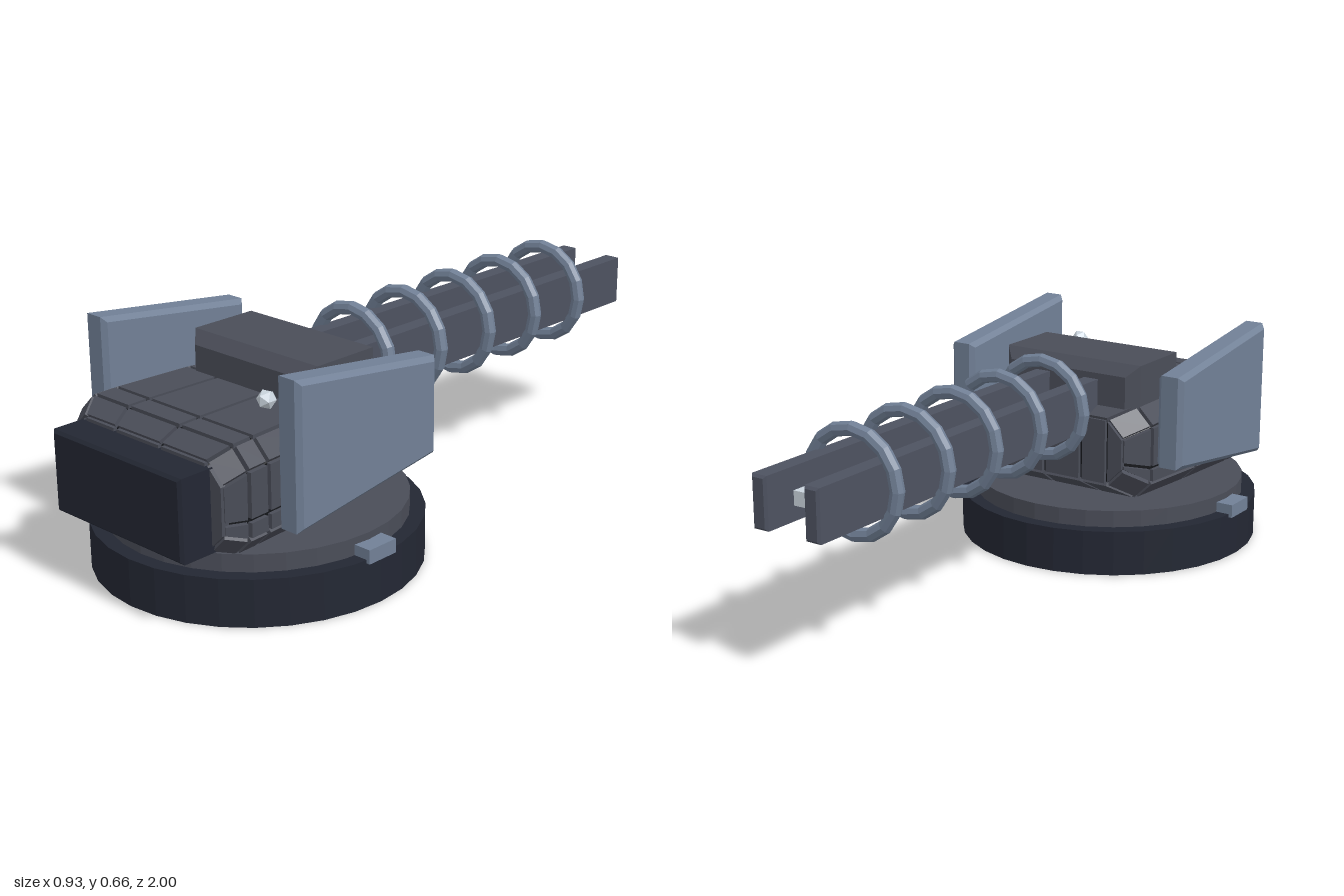
import * as THREE from 'three';
import { ConvexGeometry } from 'three/addons/geometries/ConvexGeometry.js';

const mat = (color) => new THREE.MeshStandardMaterial({ color, flatShading: true });
const DARK = mat(0x232733), BLACK = mat(0x14161a), HULL = mat(0x4a4d58);
const RAIL = mat(0x4d5260), STEEL = mat(0x718096), PALE = mat(0xcbd5de);

function add(parent, name, geometry, material, x = 0, y = 0, z = 0) {
  const mesh = new THREE.Mesh(geometry, material);
  mesh.name = name;
  mesh.position.set(x, y, z);
  parent.add(mesh);
  return mesh;
}

// Extruded outline with a single chamfer, centred on its depth
function slab(points, depth, bevel) {
  const shape = new THREE.Shape(points.map(([x, y]) => new THREE.Vector2(x, y)));
  const g = new THREE.ExtrudeGeometry(shape, {
    depth: depth - 2 * bevel, bevelEnabled: true, bevelSize: bevel,
    bevelThickness: bevel, bevelOffset: -bevel, bevelSegments: 1,
  });
  return g.translate(0, 0, bevel - depth / 2);
}

function chamferBox(w, h, d, bevel) {
  const x = w / 2, y = h / 2;
  return slab([[-x, -y], [x, -y], [x, y], [-x, y]], d, bevel);
}

// Hull cross-section, clockwise from the top left corner as seen from the front
function hullRing([z, w, y0, y1]) {
  const c = 0.055, t = w - c, mid = y0 + (y1 - y0) * 0.36;
  const columns = [-1, -0.48, 0.26, 1];
  const pts = [
    ...columns.map((f) => [f * t, y1]),
    [w, y1 - c], [w, mid], [w, y0 + c],
    ...columns.slice().reverse().map((f) => [f * t, y0]),
    [-w, y0 + c], [-w, mid], [-w, y1 - c],
  ];
  return pts.map(([x, y]) => new THREE.Vector3(x, y, z));
}

// Raised armour tile over a quad whose corners run anticlockwise from outside
function tile(corners, gap = 0.006, depth = 0.025) {
  const n = corners[2].clone().sub(corners[0])
    .cross(corners[3].clone().sub(corners[1])).normalize();
  const top = corners.map((p, i) => {
    const toNext = corners[(i + 1) % 4].clone().sub(p).normalize();
    const toPrev = corners[(i + 3) % 4].clone().sub(p).normalize();
    return p.clone().addScaledVector(toNext, gap).addScaledVector(toPrev, gap);
  });
  const low = top.map((p) => p.clone().addScaledVector(n, -depth));
  const tri = [top[0], top[1], top[2], top[0], top[2], top[3]];
  for (let i = 0; i < 4; i++) {
    const j = (i + 1) % 4;
    tri.push(low[i], low[j], top[j], low[i], top[j], top[i]);
  }
  const g = new THREE.BufferGeometry().setFromPoints(tri);
  g.computeVertexNormals();
  return g;
}

function buildHull() {
  const hull = new THREE.Group();
  hull.name = 'hull';
  // z, half width, bottom, top
  const rings = [
    [0.9, 0.29, 0.205, 0.45], [0.84, 0.325, 0.188, 0.485], [0.77, 0.322, 0.188, 0.487],
    [0.53, 0.305, 0.188, 0.487], [0.29, 0.285, 0.19, 0.475], [0.21, 0.23, 0.24, 0.445],
  ].map(hullRing);

  // Dark core seen in the seams
  const core = rings.flat().map((p) => new THREE.Vector3(
    p.x * 0.96, 0.337 + (p.y - 0.337) * 0.93, 0.555 + (p.z - 0.555) * 0.967));
  add(hull, 'hullCore', new ConvexGeometry(core), BLACK);

  // Tiles around the hull
  const n = rings[0].length;
  for (let k = 0; k < rings.length - 1; k++) {
    for (let i = 0; i < n; i++) {
      const j = (i + 1) % n;
      add(hull, 'armourTile',
        tile([rings[k][i], rings[k][j], rings[k + 1][j], rings[k + 1][i]]), HULL);
    }
  }
  // Tiles on both ends
  const ends = [[0, 1, 9, 10], [1, 2, 8, 9], [2, 3, 7, 8], [3, 4, 6, 7], [13, 0, 10, 11]];
  for (const q of ends) {
    add(hull, 'rearTile', tile(q.map((i) => rings[rings.length - 1][i])), HULL);
    add(hull, 'frontTile', tile(q.map((i) => rings[0][i]).reverse()), HULL);
  }
  return hull;
}

export function createModel() {
  const model = new THREE.Group();
  model.name = 'railTurret';
  const cz = 0.51;

  // Round base and turntable
  add(model, 'base', new THREE.CylinderGeometry(0.46, 0.46, 0.135, 32), DARK, 0, 0.0675, cz);
  add(model, 'turntable', new THREE.CylinderGeometry(0.418, 0.418, 0.055, 32), HULL, 0, 0.1575, cz);

  model.add(buildHull());

  // Front counterweight and roof housing
  add(model, 'counterweight', chamferBox(0.495, 0.23, 0.13, 0.008), DARK, 0, 0.32, 0.935);
  add(model, 'roofHousing', chamferBox(0.47, 0.165, 0.275, 0.033), HULL, 0, 0.5125, 0.4025);

  // Paired parts
  const shieldOutline = [[-0.75, 0.252], [-0.235, 0.32], [-0.235, 0.595], [-0.75, 0.66]];
  for (const s of [-1, 1]) {
    add(model, 'baseClamp', new THREE.BoxGeometry(0.07, 0.04, 0.1), STEEL, s * 0.431, 0.145, cz);
    const shield = add(model, 'sideShield', slab(shieldOutline, 0.082, 0.014), STEEL, s * 0.368);
    shield.rotation.y = Math.PI / 2;
    add(model, 'rail', chamferBox(0.048, 0.145, 1.27, 0.007), RAIL, s * 0.085, 0.472, -0.365);
  }

  // Core bar between the rails
  add(model, 'coreBar', new THREE.BoxGeometry(0.08, 0.04, 1.165), PALE, 0, 0.472, -0.3375);

  // Coil rings along the barrel
  for (let i = 0; i < 5; i++) {
    add(model, 'coilRing', new THREE.TorusGeometry(0.143, 0.02, 8, 16), STEEL,
      0, 0.472, 0.13 - i * 0.2165);
  }

  // Small sensor bead
  add(model, 'sensor', new THREE.IcosahedronGeometry(0.027, 0), PALE, 0.215, 0.545, 0.672);

  return model;
}
